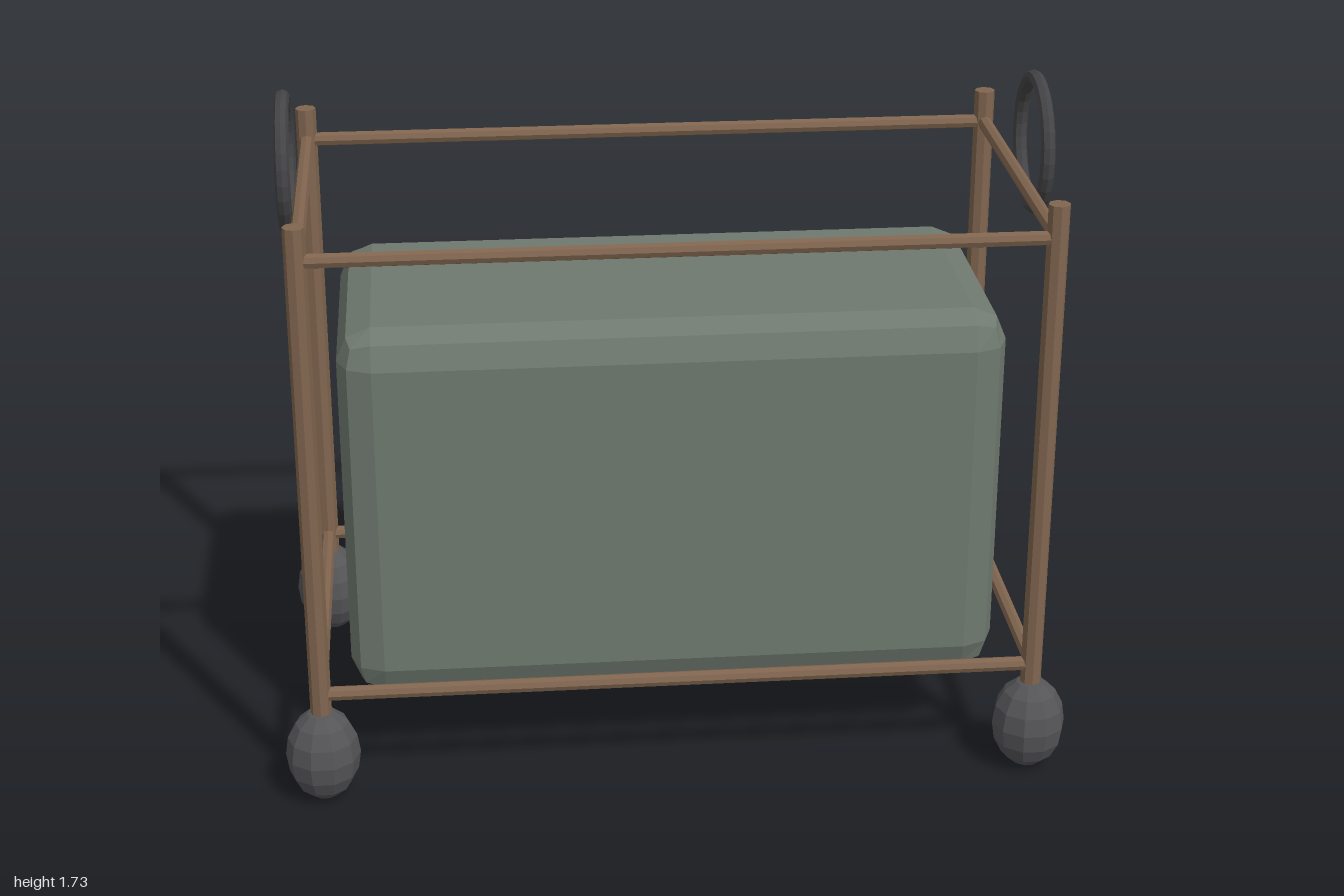
import * as THREE from 'three';
import { RoundedBoxGeometry } from 'three/addons/geometries/RoundedBoxGeometry.js';

const material = (color) => new THREE.MeshStandardMaterial({ color, flatShading: true });

export function createModel() {
  const group = new THREE.Group();
  const frame = material(0x80654f);
  const fabric = material(0x6f796f);
  const dark = material(0x444446);
  const rubber = material(0x555558);
  const X = 0.906, Z = 0.455;

  const add = (name, geometry, mat, x, y, z) => {
    const mesh = new THREE.Mesh(geometry, mat);
    mesh.name = name;
    mesh.position.set(x, y, z);
    group.add(mesh);
    return mesh;
  };

  // Bag with bevelled edges
  add('bag', new RoundedBoxGeometry(1.66, 0.995, 0.755, 1, 0.086), fabric, 0, 0.718, 0);

  // Corner posts on egg-shaped feet
  const post = new THREE.CylinderGeometry(0.027, 0.027, 1.36, 8);
  const foot = new THREE.SphereGeometry(0.0945, 10, 8);
  foot.scale(1, 0.125 / 0.0945, 1);
  for (const sx of [-1, 1]) {
    for (const sz of [-1, 1]) {
      add('post', post, frame, sx * X, 0.86, sz * Z);
      add('foot', foot, rubber, sx * X, 0.125, sz * Z);
    }
  }

  // Upper and lower rails
  const longRail = new THREE.CylinderGeometry(0.0185, 0.0185, 2 * X, 8);
  longRail.rotateZ(Math.PI / 2);
  const shortRail = new THREE.CylinderGeometry(0.0185, 0.0185, 2 * Z, 8);
  shortRail.rotateX(Math.PI / 2);
  for (const y of [0.294, 1.454]) {
    for (const s of [-1, 1]) {
      add('longRail', longRail, frame, 0, y, s * Z);
      add('endRail', shortRail, frame, s * X, y, 0);
    }
  }

  // Ring handles at both ends
  const ring = new THREE.TorusGeometry(0.164, 0.0185, 8, 28);
  ring.rotateY(Math.PI / 2);
  for (const s of [-1, 1]) add('ringHandle', ring, dark, s * 0.941, 1.543, 0);

  return group;
}
